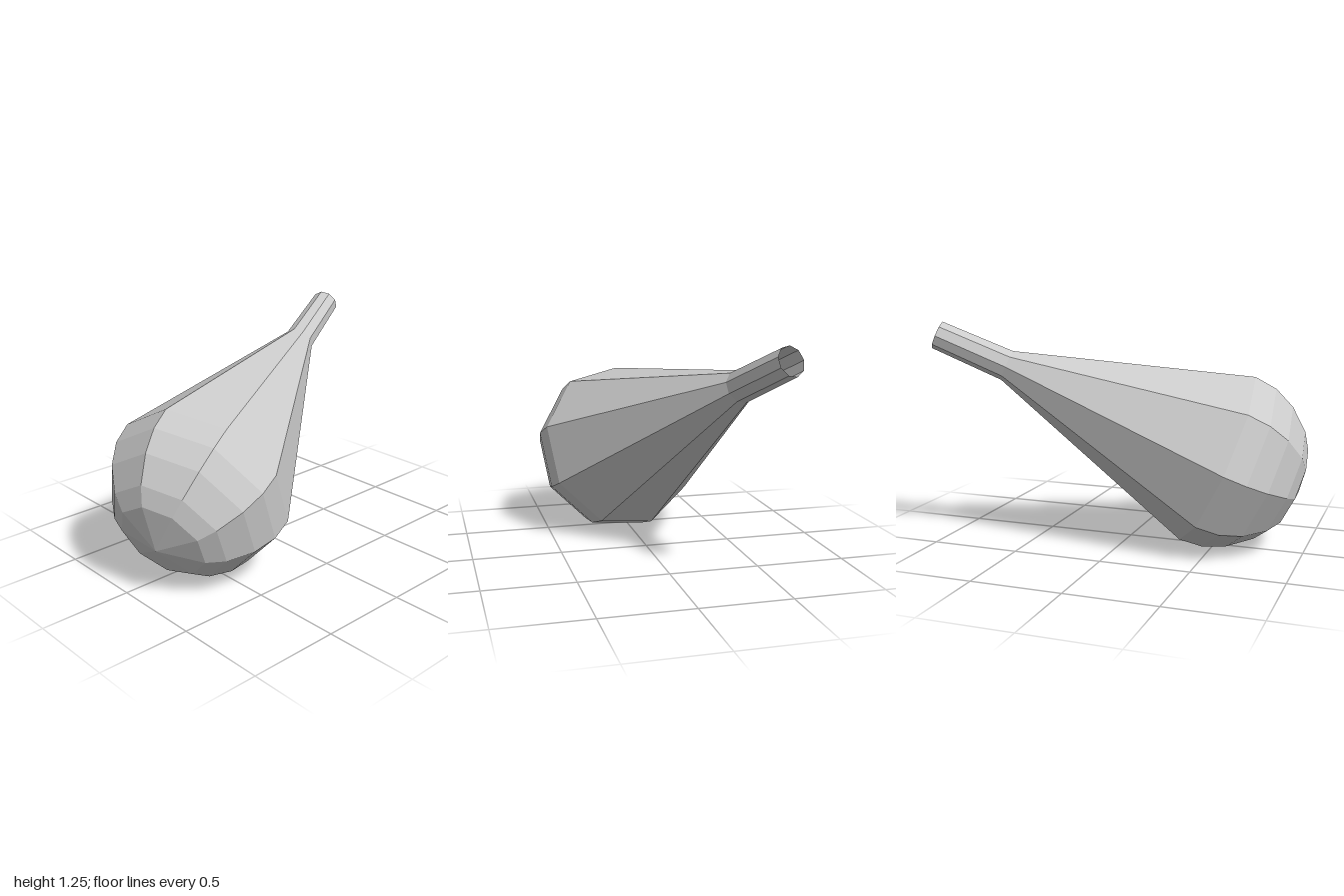
import * as THREE from 'three';

const SIDES = 9;

export function createModel() {
  const model = new THREE.Group();
  model.name = 'bulbWithNeck';

  const material = new THREE.MeshStandardMaterial({
    color: 0xcccccc, flatShading: true, side: THREE.DoubleSide,
  });

  // Nine-sided part turned around the shared axis; profile is [radius, distance from the pole]
  const turned = (name, profile) => {
    const points = profile.map(([r, t]) => new THREE.Vector2(r, t));
    const mesh = new THREE.Mesh(new THREE.LatheGeometry(points, SIDES), material);
    mesh.name = name;
    return mesh;
  };

  // Domed bulb with a long straight taper
  model.add(turned('bulb', [
    [0, 0], [0.25, 0.067], [0.34, 0.13], [0.44, 0.255], [0.495, 0.382], [0.508, 0.513],
    [0.088, 1.775],
  ]));

  // Open tubular neck
  model.add(turned('neck', [[0.088, 1.775], [0.08, 2.189]]));

  // Lay the axis over: pole low at the front, neck raised at the back
  const axis = new THREE.Vector3(-0.295, 0.404, -0.866).normalize();
  const ridge = new THREE.Vector3(-0.028, 0.895, 0.433);
  ridge.addScaledVector(axis, -ridge.dot(axis)).normalize();
  const across = new THREE.Vector3().crossVectors(axis, ridge);
  model.quaternion.setFromRotationMatrix(new THREE.Matrix4().makeBasis(across, axis, ridge));
  model.position.set(0.185, 0.3, 0.935);

  const root = new THREE.Group();
  root.add(model);
  return root;
}
